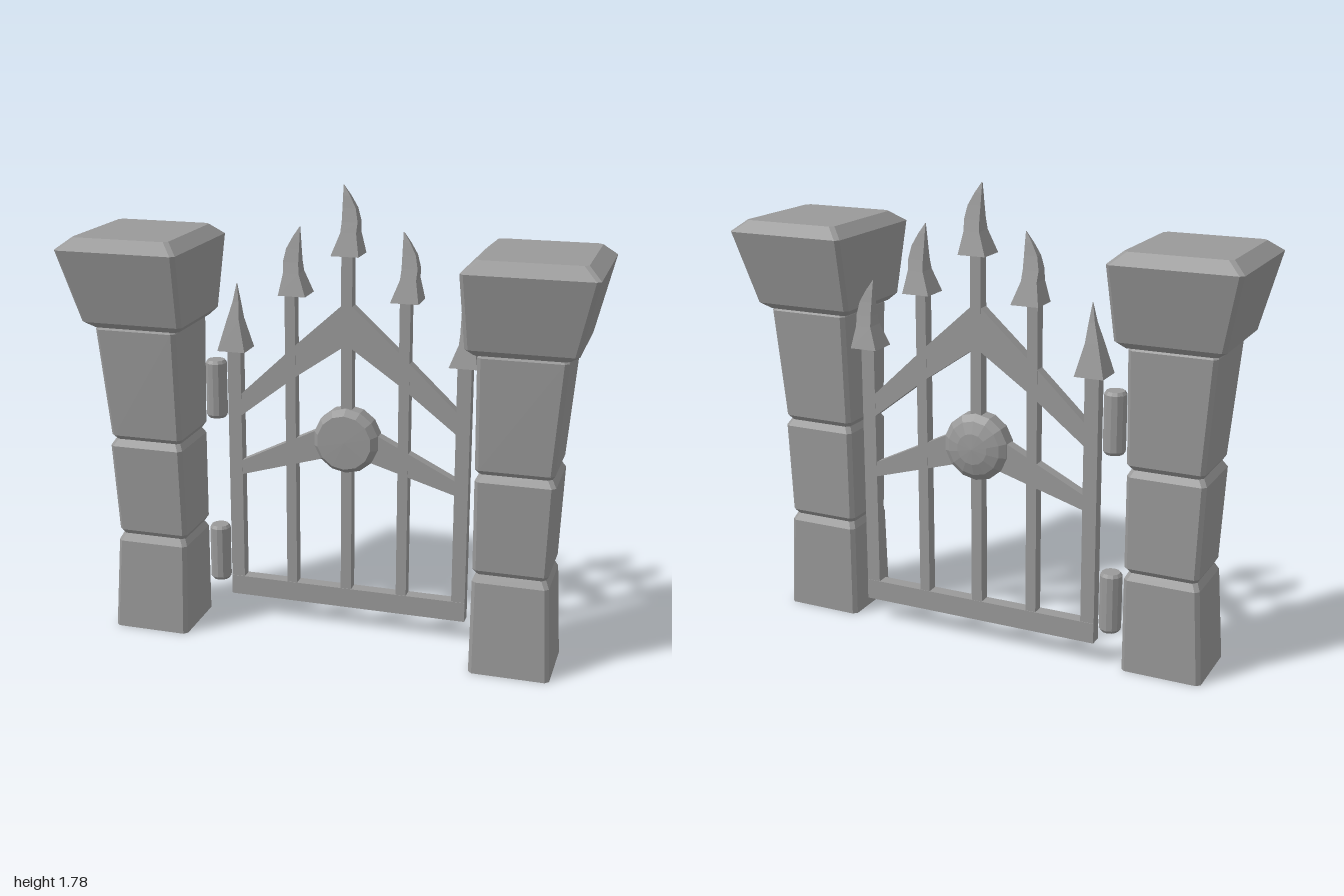
import * as THREE from 'three';

const gray = new THREE.MeshStandardMaterial({ color: 0x999999, flatShading: true });
gray.name = 'stone gray';

const GATE_Z = -0.123; // depth of the gate's centre plane
const MID = 0.021; // x of the gate's centre bar

// Stack of rectangles [y, x0, x1, z0, z1], with corners cut by c
function loft(sections, c = 0) {
  const rings = sections.map(([y, x0, x1, z0, z1]) => {
    const r = c
      ? [[x1, z1 - c], [x1, z0 + c], [x1 - c, z0], [x0 + c, z0], [x0, z0 + c], [x0, z1 - c], [x0 + c, z1], [x1 - c, z1]]
      : [[x1, z1], [x1, z0], [x0, z0], [x0, z1]];
    return r.map(([x, z]) => [x, y, z]);
  });
  const n = rings[0].length, last = rings.length - 1, pos = [];
  const tri = (a, b, d) => pos.push(...a, ...b, ...d);
  for (let i = 0; i < last; i++) {
    for (let j = 0; j < n; j++) {
      const k = (j + 1) % n;
      tri(rings[i][j], rings[i][k], rings[i + 1][k]);
      tri(rings[i][j], rings[i + 1][k], rings[i + 1][j]);
    }
  }
  for (let j = 1; j < n - 1; j++) {
    tri(rings[last][0], rings[last][j], rings[last][j + 1]);
    tri(rings[0][0], rings[0][j + 1], rings[0][j]);
  }
  const g = new THREE.BufferGeometry();
  g.setAttribute('position', new THREE.Float32BufferAttribute(pos, 3));
  g.computeVertexNormals();
  return g;
}

function add(parent, name, geometry, x = 0, y = 0, z = 0) {
  const m = new THREE.Mesh(geometry, gray);
  m.name = name;
  m.position.set(x, y, z);
  parent.add(m);
  return m;
}

// Stone blocks of the left (+x) pillar, from the ground up
const blocks = {
  baseBlock: [
    [0, 0.57, 0.878, -0.14, 0.145],
    [0.365, 0.57, 0.858, -0.14, 0.127],
    [0.395, 0.585, 0.843, -0.122, 0.11],
  ],
  middleBlock: [
    [0.39, 0.583, 0.842, -0.122, 0.108],
    [0.412, 0.57, 0.854, -0.14, 0.122],
    [0.765, 0.571, 0.868, -0.143, 0.141],
    [0.795, 0.587, 0.85, -0.125, 0.122],
  ],
  upperBlock: [
    [0.79, 0.583, 0.85, -0.128, 0.122],
    [0.81, 0.571, 0.862, -0.145, 0.14],
    [1.235, 0.571, 0.896, -0.164, 0.166],
    [1.26, 0.585, 0.885, -0.15, 0.155],
  ],
  capStone: [
    [1.245, 0.555, 0.9, -0.17, 0.17],
    [1.27, 0.531, 0.934, -0.2, 0.2],
    [1.55, 0.52, 1.0, -0.268, 0.268],
    [1.592, 0.568, 0.95, -0.223, 0.21],
  ],
};

function pillar(name, side) {
  const g = new THREE.Group();
  g.name = name;
  for (const [part, rows] of Object.entries(blocks)) {
    const s = rows.map(([y, a, b, z0, z1]) => (side > 0 ? [y, a, b, z0, z1] : [y, -b, -a, z0, z1]));
    add(g, part, loft(s, 0.015));
  }
  return g;
}

// Spearhead bent towards one side (lean -1, 0 or 1)
function spearhead(lean) {
  const bent = [
    [0, -0.054, 0.054, 0.056], [0.085, -0.022, 0.039, 0.036], [0.125, -0.019, 0.042, 0.027],
    [0.175, -0.019, 0.032, 0.017], [0.22, -0.019, 0.008, 0.009], [0.258, -0.019, -0.017, 0.001],
  ];
  const straight = [
    [0, -0.056, 0.056, 0.056], [0.12, -0.024, 0.026, 0.03], [0.19, -0.004, 0.02, 0.014], [0.262, 0.009, 0.011, 0.001],
  ];
  const rows = lean === 0 ? straight : bent;
  return loft(rows.map(([y, a, b, d]) => (lean < 0 ? [y, -b, -a, -d, d] : [y, a, b, -d, d])));
}

// Flat bar cut from an outline in the gate's plane
function plate(points, depth) {
  const shape = new THREE.Shape(points.map(([x, y]) => new THREE.Vector2(x, y)));
  return new THREE.ExtrudeGeometry(shape, { depth, bevelEnabled: false }).translate(0, 0, -depth / 2);
}

// Symmetric outline from its left half, top edge then bottom edge
function chevron(top, bottom) {
  const mirror = (p) => p.slice(0, -1).reverse().map(([x, y]) => [-x, y]);
  return plate([...top, ...mirror(top), ...[...bottom, ...mirror(bottom)].reverse()], 0.044);
}

function gate() {
  const g = new THREE.Group();
  g.name = 'gate';
  g.position.set(MID, 0, GATE_Z);

  // Upright bars with spearheads: x, width, head height, lean
  const bars = [
    [-0.457, 0.054, 1.122, 0],
    [-0.226, 0.041, 1.357, -1],
    [0, 0.043, 1.52, 1],
    [0.226, 0.041, 1.357, 1],
    [0.457, 0.054, 1.126, 1],
  ];
  for (const [x, w, top, lean] of bars) {
    const foot = 0.1;
    add(g, 'uprightBar', new THREE.BoxGeometry(w, top - foot, 0.046), x, (top + foot) / 2);
    const head = add(g, 'spearhead', spearhead(lean), x, top);
    if (lean < 0) head.position.x += 0.018;
    else if (x === 0.226) head.position.x += 0.004;
  }
  add(g, 'bottomRail', new THREE.BoxGeometry(0.968, 0.08, 0.05), 0, 0.13);

  // Arched cross rails
  add(g, 'upperRail', chevron(
    [[-0.432, 0.945], [-0.21, 1.155], [0, 1.345]],
    [[-0.432, 0.857], [-0.21, 1.03], [0, 1.175]],
  ));
  add(g, 'lowerRail', chevron(
    [[-0.432, 0.67], [0, 0.885]],
    [[-0.432, 0.612], [0, 0.74]],
  ));

  // Round boss in the middle, domed at the back
  const profile = [[0, -0.064], [0.06, -0.06], [0.105, -0.045], [0.13, -0.025], [0.13, 0.03], [0.108, 0.06], [0, 0.063]]
    .map(([r, h]) => new THREE.Vector2(r, h));
  add(g, 'boss', new THREE.LatheGeometry(profile, 14).rotateX(Math.PI / 2), 0, 0.795);
  return g;
}

export function createModel() {
  const model = new THREE.Group();
  model.name = 'gateway';
  model.add(pillar('leftPillar', 1), pillar('rightPillar', -1), gate());

  // Hinge barrels beside the right pillar
  const h = 0.117;
  const profile = [[0, -h], [0.034, -h], [0.042, -h + 0.012], [0.042, h - 0.012], [0.034, h], [0, h]]
    .map(([r, y]) => new THREE.Vector2(r, y));
  for (const y of [0.263, 0.957]) {
    add(model, 'hinge', new THREE.LatheGeometry(profile, 12), -0.518, y, GATE_Z + 0.003);
  }
  return model;
}
